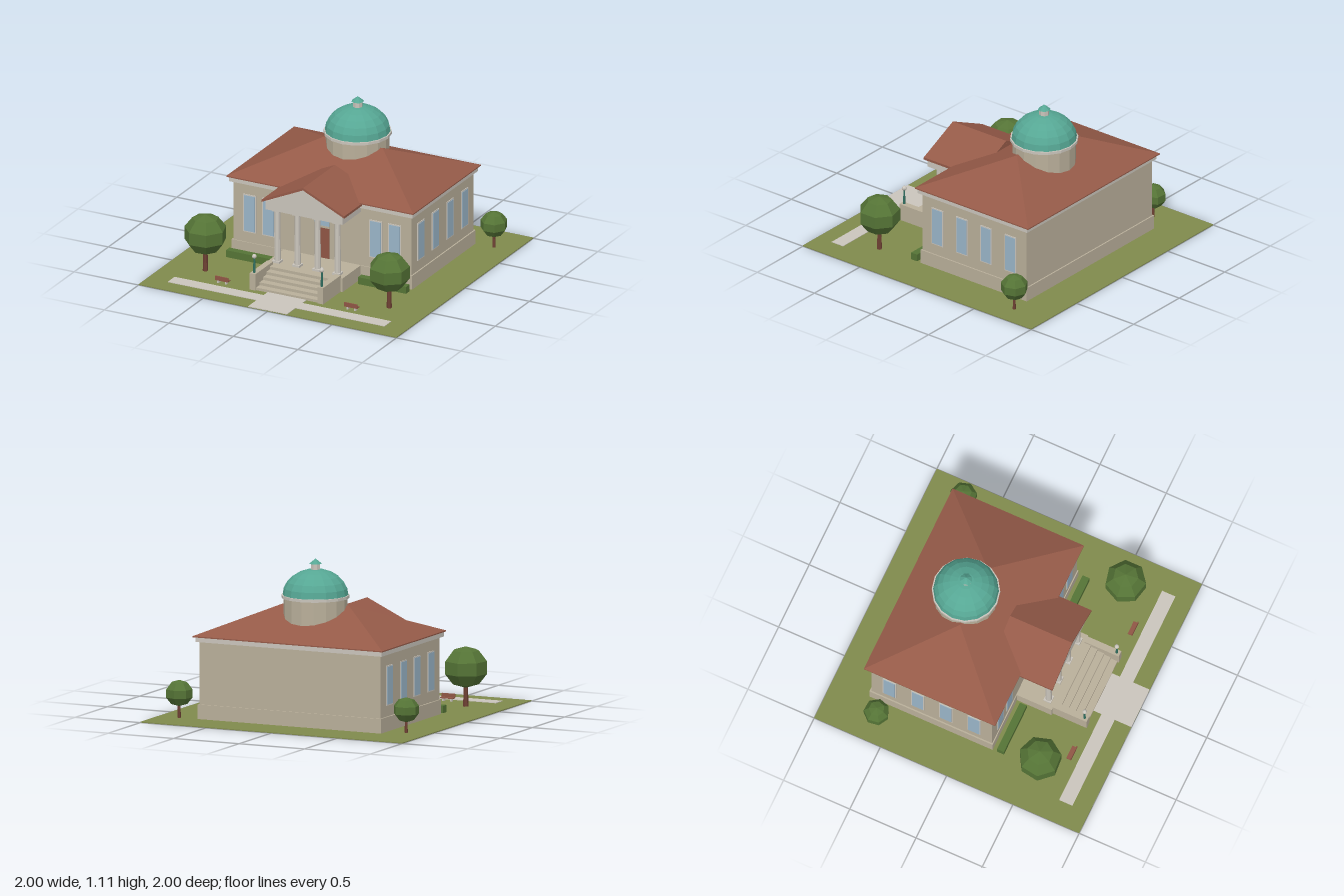
import * as THREE from 'three';

const mat = (name, color) => {
  const m = new THREE.MeshStandardMaterial({ color, flatShading: true });
  m.name = name;
  return m;
};

export function createModel() {
  const grass = mat('grass', 0x808a4c), stone = mat('pale stone', 0xcac5bc), wall = mat('wall stone', 0xb9af9a);
  const roofRed = mat('roof red', 0x955a48), brick = mat('door brown', 0x8f5645), copper = mat('copper green', 0x56a794);
  const leaf = mat('foliage', 0x557436), glass = mat('window blue', 0x9ab5c8), bark = mat('bark', 0x6e4033);
  const lampGreen = mat('lamp green', 0x2f6e60);

  const model = new THREE.Group();
  model.name = 'domedHall';
  const add = (name, geo, material, x = 0, y = 0, z = 0, parent = model) => {
    const mesh = new THREE.Mesh(geo, material);
    mesh.name = name;
    mesh.position.set(x, y, z);
    parent.add(mesh);
    return mesh;
  };
  // Box given by its limits on each axis
  const box = (name, material, [x0, x1], [y0, y1], [z0, z1], parent) =>
    add(name, new THREE.BoxGeometry(x1 - x0, y1 - y0, z1 - z0), material,
      (x0 + x1) / 2, (y0 + y1) / 2, (z0 + z1) / 2, parent);
  const cyl = (name, material, rTop, rBottom, y0, y1, sides, x, z, parent) =>
    add(name, new THREE.CylinderGeometry(rTop, rBottom, y1 - y0, sides), material, x, (y0 + y1) / 2, z, parent);
  const prism = (name, material, points, z0, z1) =>
    add(name, new THREE.ExtrudeGeometry(new THREE.Shape(points.map(p => new THREE.Vector2(...p))),
      { depth: z1 - z0, bevelEnabled: false }), material, 0, 0, z0);

  // Lawn and paths
  box('lawn', grass, [-1, 1], [0, 0.006], [-1, 1]);
  box('frontPath', stone, [-0.15, 0.15], [0.004, 0.01], [0.7, 1]);
  for (const [a, b] of [[-0.84, -0.15], [0.15, 0.84]]) box('crossPath', stone, [a, b], [0.004, 0.01], [0.775, 0.875]);

  // Main building
  box('plinth', wall, [-0.7, 0.7], [0, 0.107], [-0.722, 0.207]);
  box('walls', wall, [-0.69, 0.69], [0.107, 0.55], [-0.712, 0.2]);
  box('cornice', stone, [-0.712, 0.712], [0.542, 0.578], [-0.735, 0.225]);
  box('roofEdge', roofRed, [-0.724, 0.724], [0.576, 0.584], [-0.753, 0.238]);

  // Hipped roof: a box whose top is drawn in to a ridge
  const hip = new THREE.BoxGeometry(1.448, 0.208, 0.991);
  const pos = hip.attributes.position;
  for (let i = 0; i < pos.count; i++) {
    if (pos.getY(i) > 0) {
      pos.setX(i, Math.sign(pos.getX(i)) * 0.225);
      pos.setZ(i, 0);
    }
  }
  hip.computeVertexNormals();
  add('hippedRoof', hip, roofRed, 0, 0.688, -0.2575);

  // Windows on the front and both sides
  const addWindow = (x, z, turn) => {
    const w = new THREE.Group();
    w.name = 'window';
    w.position.set(x, 0.322, z);
    w.rotation.y = turn;
    box('windowFrame', stone, [-0.05, 0.05], [-0.139, 0.139], [-0.002, 0.005], w);
    box('windowGlass', glass, [-0.042, 0.042], [-0.131, 0.131], [0, 0.008], w);
    model.add(w);
  };
  for (const side of [-1, 1]) {
    for (const x of [0.415, 0.562]) addWindow(side * x, 0.2, 0);
    for (let i = 0; i < 4; i++) addWindow(side * 0.69, 0.065 - i * 0.213, side * Math.PI / 2);
  }

  // Entrance
  box('door', brick, [-0.056, 0.056], [0.107, 0.33], [0.199, 0.207]);
  box('doorLintel', wall, [-0.056, 0.056], [0.33, 0.345], [0.199, 0.208]);
  box('transomWindow', glass, [-0.056, 0.056], [0.345, 0.445], [0.199, 0.207]);

  // Portico floor, steps and side walls
  box('porchFloor', wall, [-0.3, 0.3], [0, 0.107], [0.2, 0.468]);
  for (let i = 0; i < 5; i++) {
    box('step', wall, [-0.24, 0.24], [0, 0.107 - i * 0.0205], [0.46, 0.515 + i * 0.05]);
  }
  for (const s of [-1, 1]) {
    const xs = [s * 0.24, s * 0.285].sort((a, b) => a - b);
    box('stairWall', wall, xs, [0, 0.127], [0.466, 0.725]);
    // Lamp on the end of the stair wall
    cyl('lampPost', lampGreen, 0.006, 0.009, 0.127, 0.235, 6, s * 0.262, 0.7);
    add('lampGlobe', new THREE.SphereGeometry(0.017, 8, 6), stone, s * 0.262, 0.247, 0.7);
  }

  // Columns
  for (const x of [-0.233, -0.078, 0.078, 0.233]) {
    box('columnBase', stone, [x - 0.028, x + 0.028], [0.107, 0.122], [0.387, 0.443]);
    cyl('columnShaft', stone, 0.02, 0.023, 0.122, 0.49, 10, x, 0.415);
    box('columnCapital', stone, [x - 0.028, x + 0.028], [0.488, 0.506], [0.387, 0.443]);
  }

  // Entablature, pediment and gabled roof
  box('entablature', stone, [-0.3, 0.3], [0.504, 0.563], [0.19, 0.468]);
  prism('pediment', stone, [[-0.3, 0.56], [0.3, 0.56], [0, 0.706]], 0.2, 0.468);
  prism('gableBack', roofRed, [[-0.3, 0.56], [0.3, 0.56], [0, 0.706]], 0.018, 0.2);
  prism('gableRoof', roofRed,
    [[-0.32, 0.56], [0, 0.707], [0.32, 0.56], [0.32, 0.577], [0, 0.725], [-0.32, 0.577]], 0.016, 0.483);

  // Drum, dome and lantern
  const dz = -0.317;
  cyl('drum', wall, 0.22, 0.22, 0.6, 0.845, 16, 0, dz);
  cyl('drumRing', stone, 0.235, 0.235, 0.842, 0.862, 16, 0, dz);
  const dome = new THREE.SphereGeometry(0.226, 16, 6, 0, Math.PI * 2, 0, Math.PI / 2);
  dome.scale(1, 0.8, 1);
  add('dome', dome, copper, 0, 0.86, dz);
  cyl('lantern', stone, 0.034, 0.034, 1.025, 1.078, 8, 0, dz);
  cyl('lanternCap', copper, 0, 0.044, 1.076, 1.112, 8, 0, dz);

  // Hedges and benches on both sides
  for (const s of [-1, 1]) {
    const span = (a, b) => [s * a, s * b].sort((p, q) => p - q);
    box('hedge', leaf, span(0.325, 0.698), [0.004, 0.057], [0.24, 0.292]);
    box('benchSeat', brick, span(0.45, 0.55), [0.026, 0.033], [0.695, 0.73]);
    box('benchBack', brick, span(0.45, 0.55), [0.033, 0.058], [0.724, 0.731]);
    for (const x of [0.465, 0.525]) box('benchLeg', stone, span(x, x + 0.012), [0.004, 0.026], [0.7, 0.726]);
  }

  // Trees: x, z, crown height, crown radius, turn
  for (const [x, z, y, r, turn] of [
    [-0.71, 0.57, 0.279, 0.155, 0.3], [0.71, 0.56, 0.27, 0.15, 0.9],
    [-0.835, -0.605, 0.165, 0.093, 0.6], [0.84, -0.725, 0.177, 0.098, 1.2],
  ]) {
    const tree = new THREE.Group();
    tree.name = 'tree';
    tree.position.set(x, 0, z);
    cyl('trunk', bark, r * 0.08, r * 0.12, 0.004, y, 6, 0, 0, tree);
    const crown = new THREE.SphereGeometry(r, 7, 5);
    crown.scale(1, 0.93, 1);
    add('crown', crown, leaf, 0, y, 0, tree).rotation.y = turn;
    model.add(tree);
  }
  return model;
}
